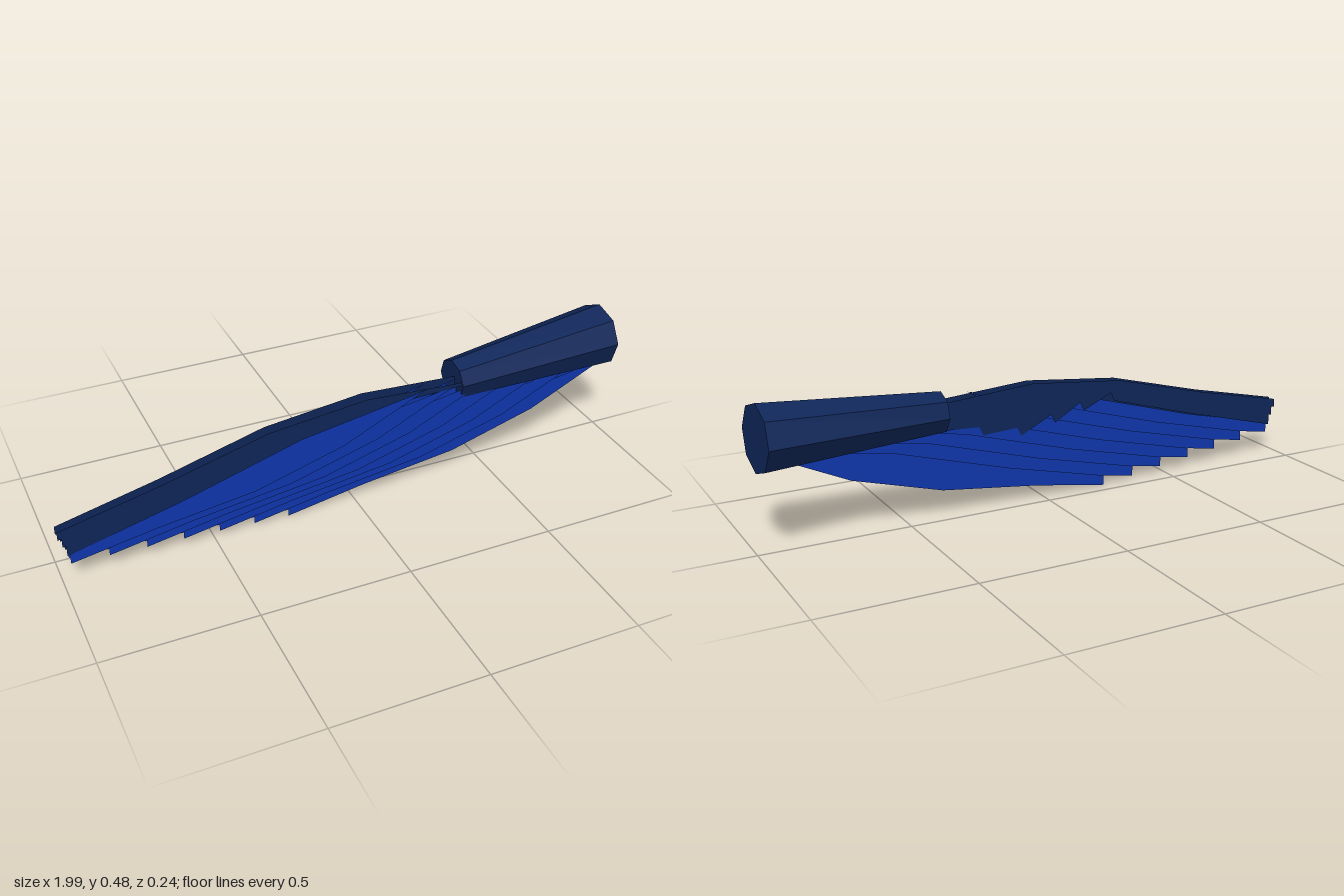
import * as THREE from 'three';

const material = (name, color, extra = {}) => {
  const m = new THREE.MeshStandardMaterial({ color, ...extra });
  m.name = name;
  return m;
};

// Flat upright plate from an outline in x and y; z runs along x by a rule
function plate(name, outline, zAt, mat) {
  const shape = new THREE.Shape(outline.map(([x, y]) => new THREE.Vector2(x, y)));
  const geometry = new THREE.ShapeGeometry(shape);
  const p = geometry.attributes.position;
  for (let i = 0; i < p.count; i++) p.setZ(i, zAt(p.getX(i)));
  geometry.computeVertexNormals();
  const mesh = new THREE.Mesh(geometry, mat);
  mesh.name = name;
  return mesh;
}

export function createModel() {
  const wing = new THREE.Group();
  wing.name = 'wing';
  const navy = material('navy', 0x0e2659, { flatShading: true });
  const navyFeather = material('navyFeather', 0x0e2659, { side: THREE.DoubleSide });
  const blue = material('blue', 0x0f37ad, { side: THREE.DoubleSide });

  // Tapered eight-sided arm
  const inner = new THREE.Vector3(0.985, 0.373, -0.01);
  const outer = new THREE.Vector3(0.377, 0.357, 0.035);
  const axis = inner.clone().sub(outer);
  const arm = new THREE.Mesh(new THREE.CylinderGeometry(0.111, 0.07, axis.length(), 8), navy);
  arm.quaternion.setFromUnitVectors(new THREE.Vector3(0, 1, 0), axis.clone().normalize());
  arm.position.copy(inner).add(outer).multiplyScalar(0.5);
  arm.name = 'arm';
  wing.add(arm);

  // Blue flight feathers: one blade stepped along the wing, in a front and a back layer
  const blade = [
    [-0.97, 0.075], [-0.7, 0.12], [-0.36, 0.163], [-0.05, 0.25], [0.25, 0.39],
    [0.2, 0.378], [-0.2, 0.315], [-0.6, 0.2], [-0.97, 0.11],
  ];
  const feathers = new THREE.Group();
  feathers.name = 'flightFeathers';
  for (const depth of [0, -0.03]) {
    for (let i = 0; i < 7; i++) {
      const feather = plate('flightFeather', blade, (x) => 0.12 - 0.012 * (x + 0.97) + depth, blue);
      feather.position.set(0.122 * i, -0.012 * i, -0.0075 * i);
      feathers.add(feather);
    }
  }
  wing.add(feathers);

  // Navy covert feathers along the leading edge, with a stepped wing tip
  const leading = [[0.45, 0.365], [0.37, 0.377], [0.03, 0.4], [-0.31, 0.365], [-0.66, 0.275], [-1, 0.2]];
  const tip = [[-1, 0.17], [-0.988, 0.172], [-0.988, 0.14], [-0.977, 0.142], [-0.977, 0.105]];
  const frontEdge = [[-0.6, 0.19], [-0.2, 0.3], [0.2, 0.36]];
  wing.add(plate('frontCoverts', [...leading, ...tip, ...frontEdge],
    (x) => 0.116 - 0.013 * (x + 0.97), navyFeather));

  // Back coverts end in a saw-toothed lower edge
  const teeth = [[-0.29, 0.295], [-0.168, 0.278], [-0.055, 0.252], [0.075, 0.226], [0.216, 0.25]]
    .flatMap(([x, y]) => [[x, y], [x + 0.015, y + 0.03]]);
  wing.add(plate('backCoverts', [...leading, ...tip, [-0.6, 0.205], ...teeth, [0.42, 0.29]],
    (x) => 0.084 - 0.024 * (x + 1), navyFeather));

  return wing;
}
